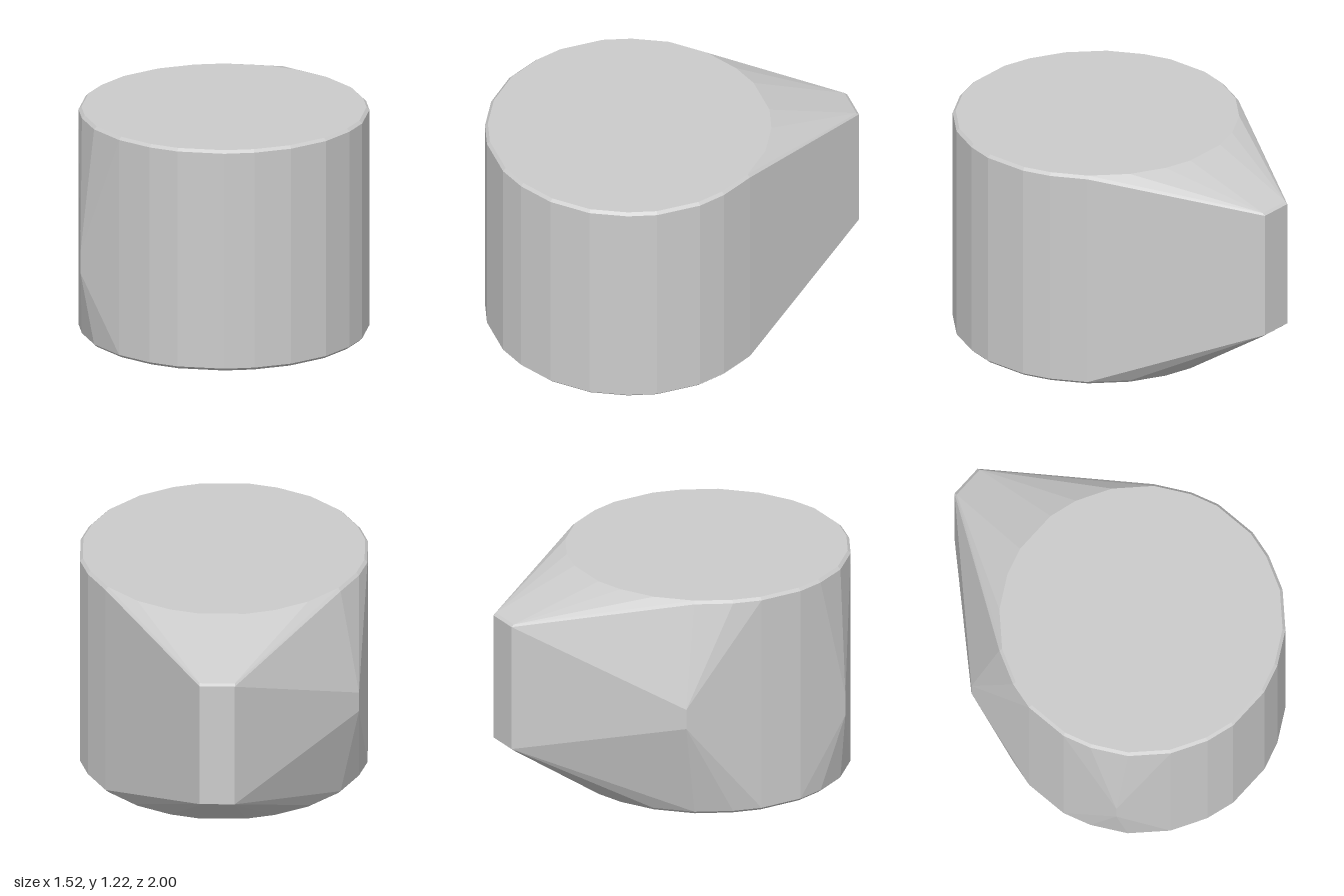
import * as THREE from 'three';
import { ConvexGeometry } from 'three/addons/geometries/ConvexGeometry.js';

// One quadrant of the drum outline, mirrored to make 24 corners
const QUADRANT = [[0.125, 0.755], [0.28, 0.71], [0.46, 0.61], [0.62, 0.45], [0.715, 0.27], [0.758, 0.12]];
const CENTRE_Z = 0.245;
const HEIGHT = 1.22;
const BEVEL = 0.015;

export function createModel() {
  const group = new THREE.Group();
  const points = [];
  const add = (x, y, z) => points.push(new THREE.Vector3(x, y, z));

  // Drum: rings with a small bevel at the top and bottom rims
  const rings = [[0, 0.98], [BEVEL, 1], [HEIGHT - BEVEL, 1], [HEIGHT, 0.98]];
  for (const [y, s] of rings)
    for (const [x, z] of QUADRANT)
      for (const sx of [-1, 1])
        for (const sz of [-1, 1]) add(sx * x * s, y, CENTRE_Z + sz * z * s);

  // Rear spout: a narrow upright face with softened corners
  for (const x of [-0.07, 0.115]) {
    for (const y of [0.35, 1.05]) add(x, y, -1);
    for (const y of [0.338, 1.062]) add(x, y, -0.985);
  }

  // Two short upright ridges on the right flank
  for (const y of [0.55, 0.66]) add(-0.718, y, -0.315);
  for (const y of [0.4, 0.52]) add(-0.695, y, 0.68);

  // Skin stretched around drum, spout and ridges
  const body = new THREE.Mesh(
    new ConvexGeometry(points),
    new THREE.MeshStandardMaterial({ color: 0xcccccc, flatShading: true })
  );
  body.name = 'spoutedDrumBody';
  group.add(body);
  return group;
}
